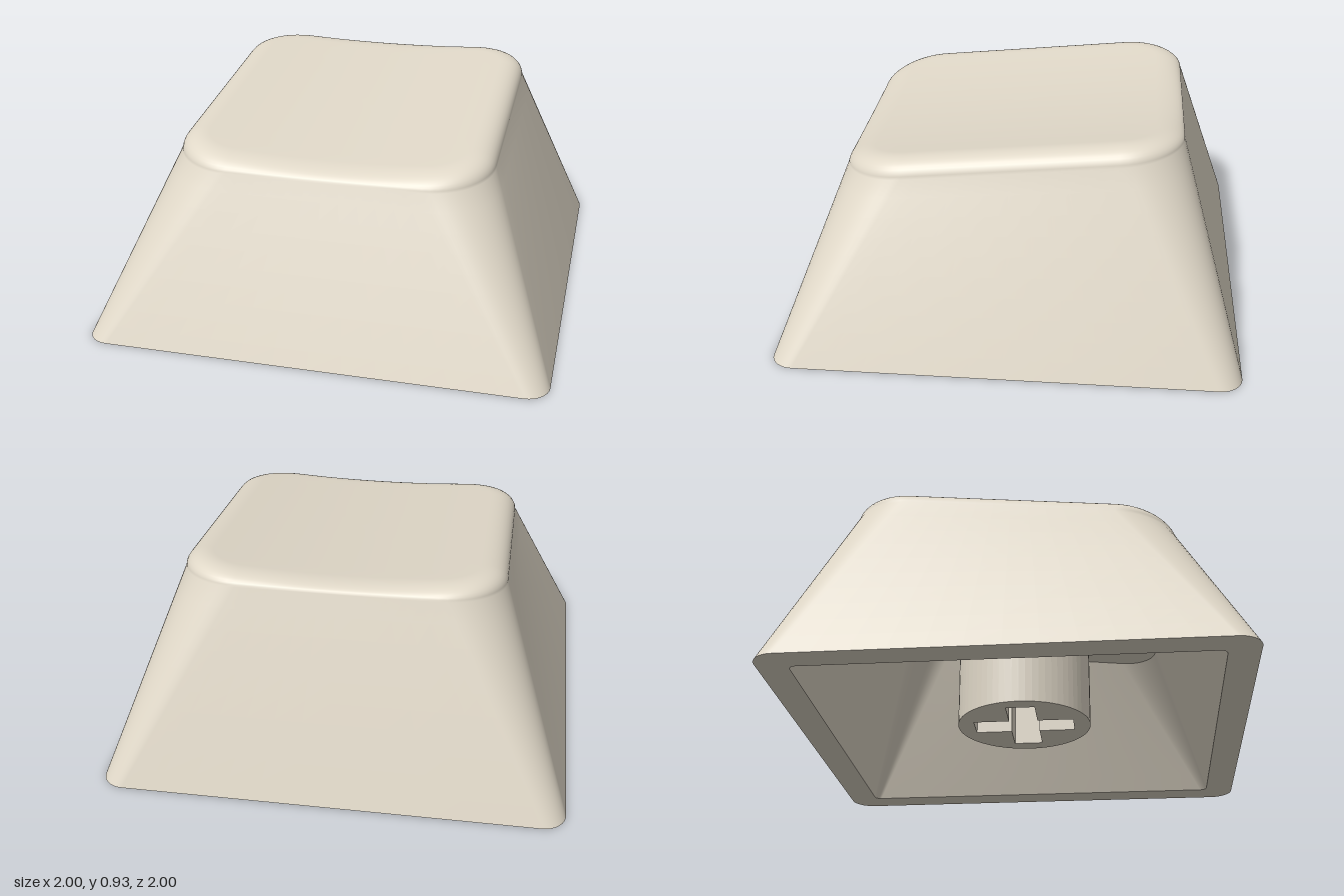
import * as THREE from 'three';

const plastic = new THREE.MeshStandardMaterial({ color: 0xe0d8c8 });
plastic.name = 'beige plastic';

const CORNER = 12, SIDE = 12;
const rimY = (z) => 0.805 - 0.103 * z;                                // where walls end
const dishY = (x, z) => 0.845 - 0.1 * z + 0.035 * (x / 0.6) ** 2;     // scooped top

// Rounded rectangle in plan as [x, z] points; every loop has the same count
function loop(hx, hz, r) {
  const arcs = [[1, 1], [-1, 1], [-1, -1], [1, -1]].map(([sx, sz], k) =>
    Array.from({ length: CORNER + 1 }, (_, i) => {
      const a = (k + i / CORNER) * Math.PI / 2;
      return [sx * (hx - r) + r * Math.cos(a), sz * (hz - r) + r * Math.sin(a)];
    }));
  const pts = [];
  arcs.forEach((arc, k) => {
    pts.push(...arc);
    const a = arc[CORNER], b = arcs[(k + 1) % 4][0];
    for (let i = 1; i < SIDE; i++) {
      const t = i / SIDE;
      pts.push([a[0] + (b[0] - a[0]) * t, a[1] + (b[1] - a[1]) * t]);
    }
  });
  return pts;
}

const lift = (pts, fy) => pts.map(([x, z]) => [x, fy(x, z), z]);
const mix = (A, B, t) => A.map((p, i) => p.map((v, k) => v + (B[i][k] - v) * t));
const steps = (A, B, n) => Array.from({ length: n + 1 }, (_, i) => mix(A, B, i / n));

// Skin through a series of closed loops
function skin(name, rings) {
  const n = rings[0].length, index = [];
  for (let i = 0; i < rings.length - 1; i++) {
    for (let j = 0; j < n; j++) {
      const a = i * n + j, b = i * n + (j + 1) % n;
      index.push(a, a + n, b, b, a + n, b + n);
    }
  }
  const g = new THREE.BufferGeometry();
  g.setAttribute('position', new THREE.Float32BufferAttribute(rings.flat(2), 3));
  g.setIndex(index);
  g.computeVertexNormals();
  const mesh = new THREE.Mesh(g, plastic);
  mesh.name = name;
  return mesh;
}

export function createModel() {
  const group = new THREE.Group();
  group.name = 'keycap';

  const HX = 0.69, HZ = 0.725, R = 0.27, FILLET = 0.12;
  const foot = lift(loop(1, 1, 0.1), () => 0);
  const innerFoot = lift(loop(0.87, 0.87, 0.03), () => 0);
  const rim = lift(loop(HX, HZ, R), (x, z) => rimY(z));

  // Outer walls, rolled top edge and dished top in one smooth skin
  const outer = steps(foot, rim, 10);
  for (let i = 1; i <= 10; i++) {
    const t = i / 10 * Math.PI / 2, d = FILLET * (1 - Math.cos(t));
    outer.push(lift(loop(HX - d, HZ - d, R - d),
      (x, z) => rimY(z) + (dishY(x, z) - rimY(z)) * Math.sin(t)));
  }
  const flat = loop(HX - FILLET, HZ - FILLET, R - FILLET);
  for (let i = 1; i <= 10; i++) {
    const s = Math.max(1 - i / 10, 0.0005);
    outer.push(lift(flat.map(([x, z]) => [x * s, z * s]), dishY));
  }
  group.add(skin('outerShell', outer));

  // Flat underside edge
  group.add(skin('bottomEdge', [innerFoot, foot]));

  // Hollow inside: walls and sloping ceiling
  const ceilingY = (x, z) => 0.66 - 0.1 * z;
  const ceilingPlan = loop(0.6, 0.63, 0.17);
  const ceiling = lift(ceilingPlan, ceilingY);
  const centre = lift(ceilingPlan.map(([x, z]) => [x * 0.0005, z * 0.0005]), ceilingY);
  group.add(skin('innerWalls', steps(ceiling, innerFoot, 8)));
  group.add(skin('ceiling', [centre, ceiling]));

  // Round stem with a cross-shaped socket
  const shape = new THREE.Shape().absarc(0, 0, 0.305, 0, Math.PI * 2, false);
  const L = 0.228, W = 0.065;
  const cross = [[L, -W], [L, W], [W, W], [W, L], [-W, L], [-W, W],
    [-L, W], [-L, -W], [-W, -W], [-W, -L], [W, -L], [W, -W]];
  shape.holes.push(new THREE.Path(cross.map(([x, y]) => new THREE.Vector2(x, y)).reverse()));
  const stemGeo = new THREE.ExtrudeGeometry(shape, { depth: 0.68, bevelEnabled: false, curveSegments: 32 });
  stemGeo.rotateX(-Math.PI / 2);
  const stem = new THREE.Mesh(stemGeo, plastic);
  stem.name = 'stem';
  stem.position.y = 0.05;
  group.add(stem);

  return group;
}
